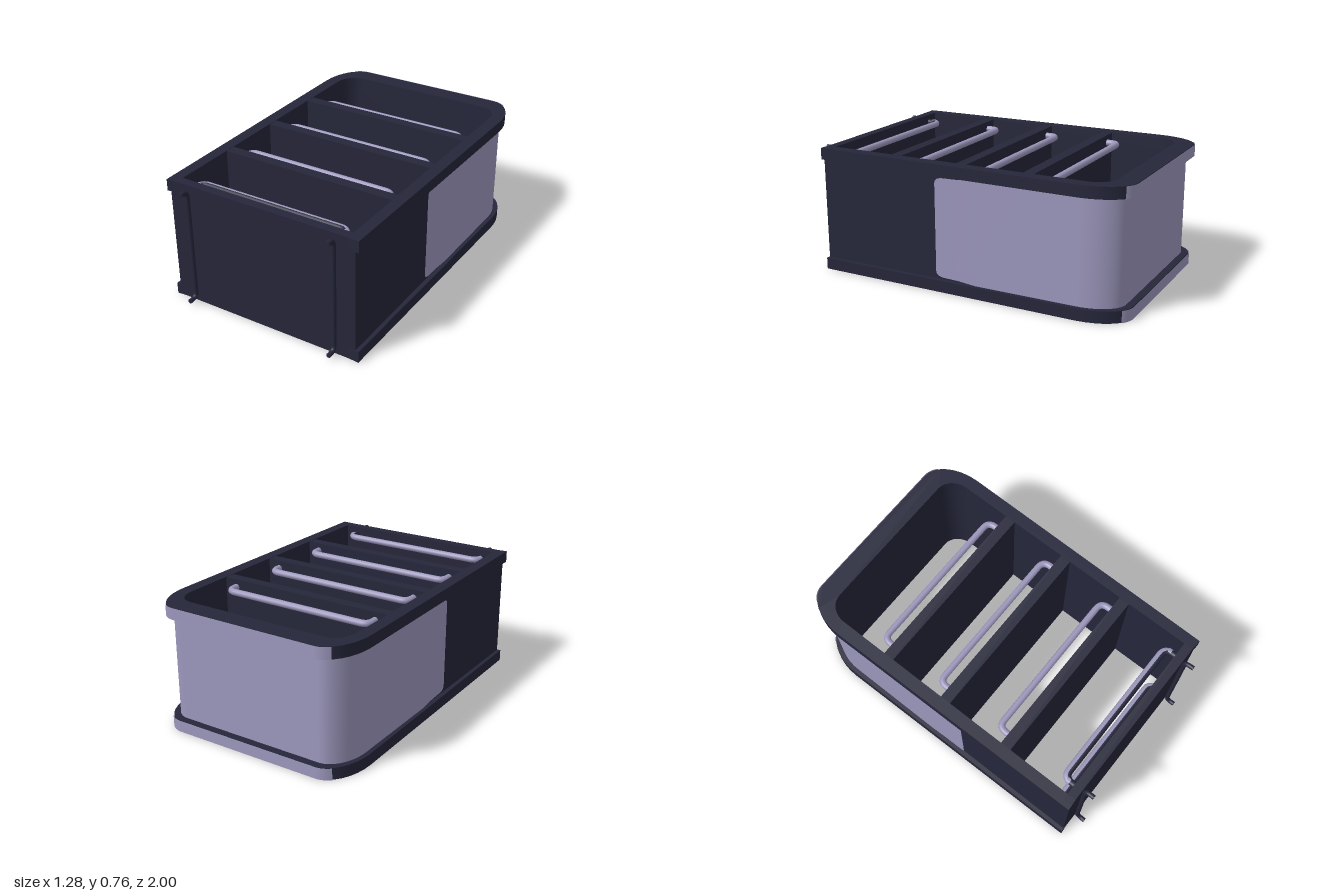
import * as THREE from 'three';
import { toCreasedNormals } from 'three/addons/utils/BufferGeometryUtils.js';

const H = 0.76, RIM = 0.07;

// U-shaped outline in plan, from the +x front end round the back to the -x front end
function outline(zFront, xFront, xBack, zBack, rx, rz, steps = 8) {
  const half = [[xFront, zFront]];
  for (let i = 0; i <= steps; i++) {
    const a = (i / steps) * Math.PI / 2;
    half.push([xBack - rx + rx * Math.cos(a), zBack + rz - rz * Math.sin(a)]);
  }
  return [...half, ...half.slice().reverse().map(([x, z]) => [-x, z])];
}

// Solid U-shaped ring between two outlines
function ring(outer, inner, y0, y1) {
  const pts = [...outer, ...inner.slice().reverse()].map(([x, z]) => new THREE.Vector2(x, -z));
  const g = new THREE.ExtrudeGeometry(new THREE.Shape(pts), { depth: y1 - y0, bevelEnabled: false });
  g.rotateX(-Math.PI / 2).translate(0, y0, 0);
  return toCreasedNormals(g, 0.5);
}

// Thin upright skin following a list of [x, z, yLow, yHigh]
function skin(rows) {
  const pos = [], idx = [];
  rows.forEach(([x, z, lo, hi], i) => {
    pos.push(x, lo, z, x, hi, z);
    if (i < rows.length - 1) {
      const a = i * 2;
      idx.push(a, a + 2, a + 3, a, a + 3, a + 1);
    }
  });
  const g = new THREE.BufferGeometry();
  g.setAttribute('position', new THREE.Float32BufferAttribute(pos, 3));
  g.setIndex(idx);
  g.computeVertexNormals();
  return g;
}

// Tube through four points with its two inner corners rounded
function bentTube(points, radius, bend) {
  const [a, b, c, d] = points.map(p => new THREE.Vector3(...p));
  const toward = (p, q) => p.clone().add(q.clone().sub(p).setLength(bend));
  const b0 = toward(b, a), b1 = toward(b, c), c0 = toward(c, b), c1 = toward(c, d);
  const path = new THREE.CurvePath();
  path.add(new THREE.LineCurve3(a, b0));
  path.add(new THREE.QuadraticBezierCurve3(b0, b, b1));
  path.add(new THREE.LineCurve3(b1, c0));
  path.add(new THREE.QuadraticBezierCurve3(c0, c, c1));
  path.add(new THREE.LineCurve3(c1, d));
  return new THREE.TubeGeometry(path, 90, radius, 12);
}

export function createModel() {
  const group = new THREE.Group();
  const dark = new THREE.MeshStandardMaterial({ color: 0x25263a });
  dark.name = 'darkNavy';
  const lilac = new THREE.MeshStandardMaterial({ color: 0x9c97bc });
  lilac.name = 'lilac';
  const add = (name, geometry, material) => {
    const m = new THREE.Mesh(geometry, material);
    m.name = name;
    group.add(m);
    return m;
  };

  // Rims and wall
  const inner = outline(0.93, 0.555, 0.56, -0.875, 0.11, 0.13);
  const rimOuter = outline(0.935, 0.622, 0.638, -0.995, 0.17, 0.27);
  const wallOuter = outline(0.93, 0.6, 0.604, -0.945, 0.15, 0.23);
  add('wall', ring(wallOuter, inner, RIM, H - RIM), dark);
  add('bottomRim', ring(rimOuter, inner, 0, RIM), dark);
  add('topRim', ring(rimOuter, inner, H - RIM, H), dark);

  // Lilac wrap round the back, with rounded front corners
  const wrap = outline(-0.1, 0.61, 0.61, -0.952, 0.15, 0.23, 12).map(([x, z]) => [x, z, RIM, H - RIM]);
  const lead = [[0.16, 0.115], [0.155, 0.1], [0.145, 0.09], [0.12, 0.083], [0.02, 0.08]]
    .map(([z, lo]) => [0.608, z, lo, H - lo]);
  const trail = lead.slice().reverse().map(([x, ...rest]) => [-x, ...rest]);
  const wrapMesh = add('sideWrap', skin([...lead, ...wrap, ...trail]), lilac);
  wrapMesh.material.side = THREE.DoubleSide;

  // Lilac facing on the back of each rim
  const facing = outline(0.935, 0.624, 0.64, -1, 0.17, 0.27, 24).filter(p => p[1] < -0.955);
  for (const [name, y] of [['bottomRimFacing', 0], ['topRimFacing', H - RIM]]) {
    add(name, skin(facing.map(([x, z]) => [x, z, y, y + RIM])), lilac);
  }

  // Front panel and dividers
  const front = new THREE.BoxGeometry(1.2, H, 0.055);
  add('frontPanel', front, dark).position.set(0, H / 2, 0.9025);
  for (const z of [-0.403, 0.016, 0.448]) {
    add('divider', new THREE.BoxGeometry(1.13, H - 0.004, 0.066), dark).position.set(0, H / 2, z);
  }

  // Bars behind each panel, near the top and the bottom
  const bar = (zPanel, zBar, y, r) => bentTube(
    [[0.482, y, zPanel], [0.482, y, zBar], [-0.482, y, zBar], [-0.482, y, zPanel]], r, 0.05);
  for (const y of [0.05, H - 0.05]) {
    for (const z of [-0.43, -0.01, 0.42]) add('bar', bar(z, z - 0.08, y, 0.02), lilac);
    add('frontBar', bar(0.82, 0.798, y, 0.02), lilac);
    add('frontBarBracket', bar(0.88, 0.806, y, 0.019), dark);
  }

  // Upright rods on the front with ends turned forward
  for (const x of [-0.475, 0.475]) {
    add('frontRod', bentTube(
      [[x, 0.03, 1], [x, 0.03, 0.943], [x, H - 0.03, 0.943], [x, H - 0.03, 1]], 0.014, 0.04), dark);
    for (const y of [0.03, H - 0.03]) {
      add('rodEnd', new THREE.CircleGeometry(0.014, 12), dark).position.set(x, y, 1);
    }
  }
  return group;
}
